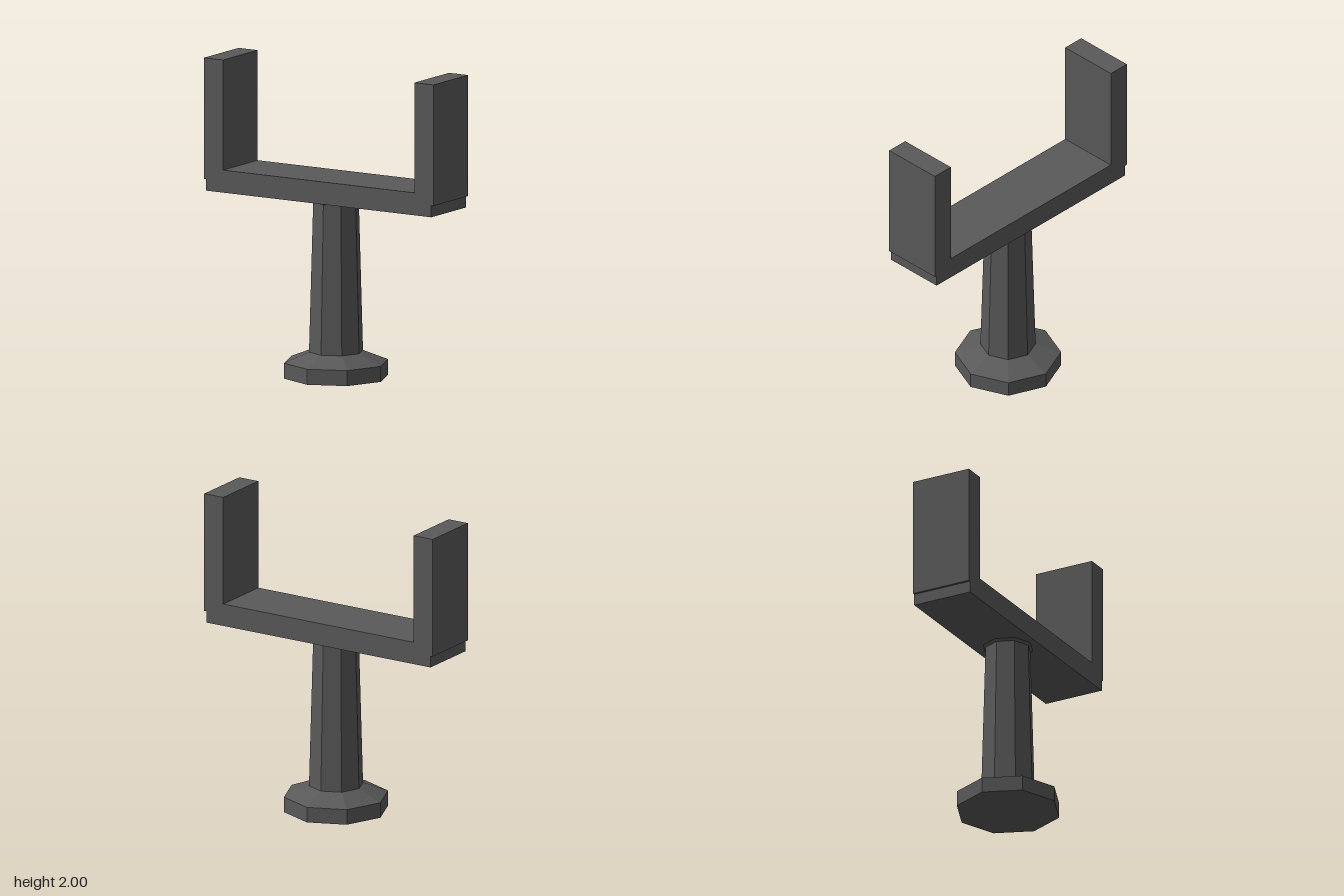
import * as THREE from 'three';

const darkGrey = new THREE.MeshStandardMaterial({ color: 0x595959, flatShading: true });
darkGrey.name = 'dark grey';

// Faceted eight-sided turning from [radius, height] pairs, listed bottom to top
function octagonal(name, profile) {
  const points = profile.map(([r, y]) => new THREE.Vector2(r, y));
  const mesh = new THREE.Mesh(new THREE.LatheGeometry(points, 8), darkGrey);
  mesh.name = name;
  return mesh;
}

export function createModel() {
  const model = new THREE.Group();
  model.name = 'forkedStand';

  // Foot with a sloped shoulder
  model.add(octagonal('foot', [[0, 0], [0.337, 0], [0.337, 0.1], [0.175, 0.165]]));

  // Tapered post and the small flare under the crossbar
  model.add(octagonal('post', [[0.175, 0.165], [0.148, 1.13]]));
  model.add(octagonal('collar', [[0.148, 1.13], [0.163, 1.145]]));

  // U-shaped fork: crossbar and two uprights, stepped out above the bar's lower edge
  const half = [[0.85, 1.145], [0.85, 1.22], [0.866, 1.22], [0.866, 2], [0.722, 2], [0.722, 1.29]];
  const mirrored = half.map(([x, y]) => [-x, y]).reverse();
  const outline = new THREE.Shape([...half, ...mirrored].map(([x, y]) => new THREE.Vector2(x, y)));
  const depth = 0.406;
  const forkGeometry = new THREE.ExtrudeGeometry(outline, { depth, bevelEnabled: false });
  forkGeometry.translate(0, 0, -depth / 2);
  const fork = new THREE.Mesh(forkGeometry, darkGrey);
  fork.name = 'fork';
  model.add(fork);

  return model;
}
